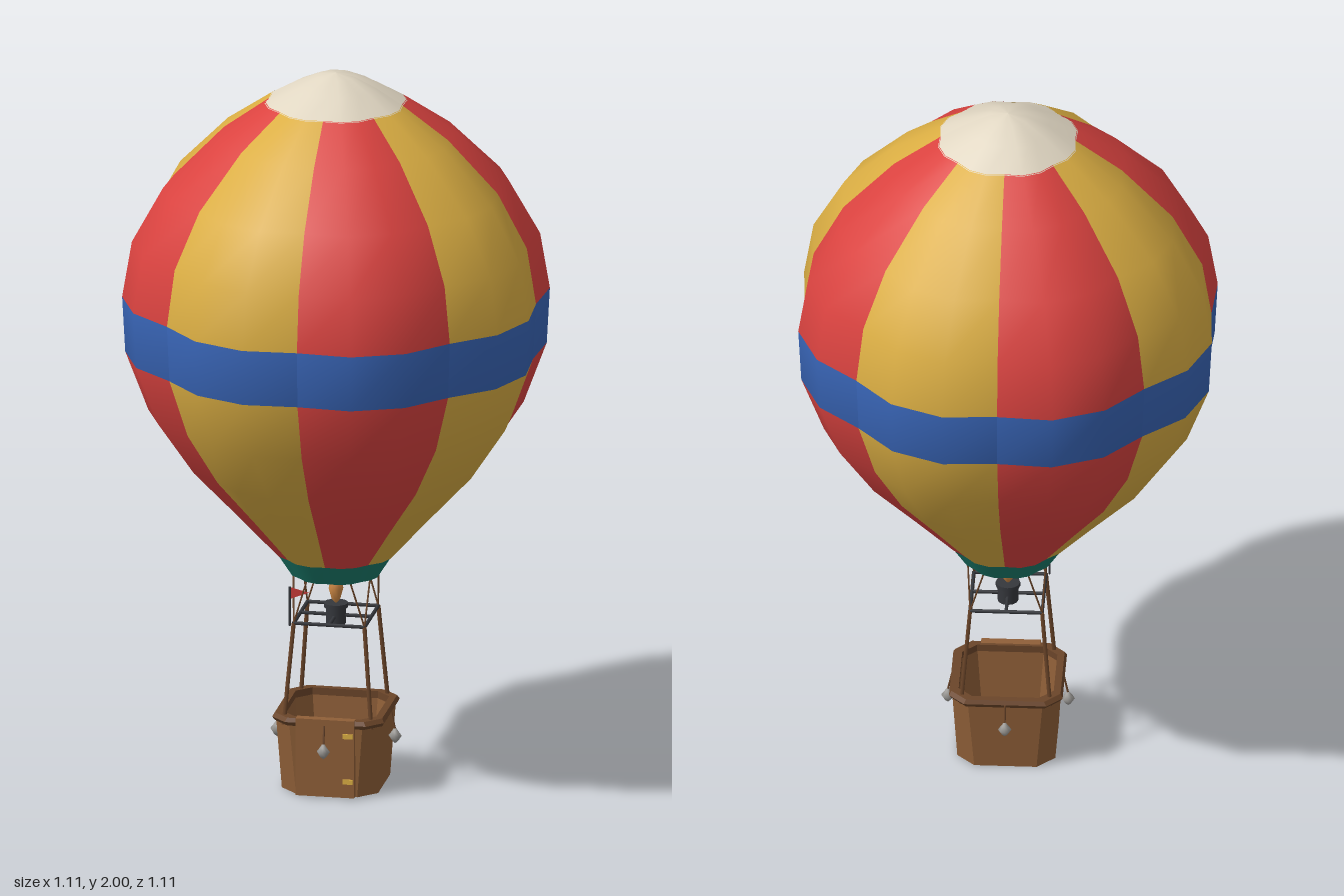
import * as THREE from 'three';

const mat = (name, color, side = THREE.FrontSide) => {
  const m = new THREE.MeshStandardMaterial({ color, side });
  m.name = name;
  return m;
};

// Skin through rings of points (bottom to top, counter-clockwise in x/z)
function skin(rings, closed, flat) {
  const n = rings[0].length, idx = [];
  const cols = closed ? n : n - 1;
  for (let i = 0; i < rings.length - 1; i++) {
    for (let j = 0; j < cols; j++) {
      const k = (j + 1) % n;
      const a = i * n + j, b = i * n + k, c = a + n, d = b + n;
      idx.push(a, c, b, b, c, d);
    }
  }
  let g = new THREE.BufferGeometry();
  g.setAttribute('position', new THREE.Float32BufferAttribute(rings.flat(2), 3));
  g.setIndex(idx);
  if (flat) g = g.toNonIndexed();
  g.computeVertexNormals();
  return g;
}

// Fabric turned about y, bulging between the eight seams
function fabric(profile, firstStep, steps) {
  return skin(profile.map(([r, y]) => {
    const ring = [];
    for (let s = firstStep; s <= firstStep + steps; s++) {
      const a = s * Math.PI / 12;
      const q = r * (1 + 0.06 * Math.sin(Math.PI * (s % 3) / 3));
      ring.push([q * Math.cos(a), y, q * Math.sin(a)]);
    }
    return ring;
  }), false, false);
}

// Square with cut corners, as a ring of eight points
function cutSquare([h, c, y]) {
  const k = h - c;
  return [[h, -k], [h, k], [k, h], [-k, h], [-h, k], [-h, -k], [-k, -h], [k, -h]]
    .map(([x, z]) => [x, y, z]);
}

export function createModel() {
  const model = new THREE.Group();
  model.name = 'hotAirBalloon';

  const red = mat('red', 0xdb4340, THREE.DoubleSide);
  const yellow = mat('yellow', 0xdbae43, THREE.DoubleSide);
  const blue = mat('blue', 0x3864b5, THREE.DoubleSide);
  const cream = mat('cream', 0xe0d6c2, THREE.DoubleSide);
  const teal = mat('teal', 0x1a7a6a, THREE.DoubleSide);
  const wicker = mat('wicker', 0x8f5f38);
  const darkWood = mat('darkWood', 0x6b4529);
  const metal = mat('darkMetal', 0x35373c);
  const silver = mat('silver', 0x9c9a96);
  const flameColor = mat('flame', 0xd08a45);

  const add = (name, geo, material, x = 0, y = 0, z = 0) => {
    const m = new THREE.Mesh(geo, material);
    m.name = name;
    m.position.set(x, y, z);
    model.add(m);
    return m;
  };

  // Straight round bar between two points
  const bar = (name, from, to, r, material) => {
    const a = new THREE.Vector3(...from), b = new THREE.Vector3(...to);
    const dir = b.clone().sub(a);
    const m = add(name, new THREE.CylinderGeometry(r, r, dir.length(), 6), material);
    m.position.copy(a).add(b).multiplyScalar(0.5);
    m.quaternion.setFromUnitVectors(new THREE.Vector3(0, 1, 0), dir.normalize());
  };

  // Envelope: eight gores with a blue belt
  const profile = [[0.155, 0.65], [0.262, 0.773], [0.384, 0.91], [0.481, 1.06], [0.54, 1.225],
    [0.548, 1.38], [0.523, 1.535], [0.443, 1.685], [0.307, 1.828], [0.18, 1.92]];
  const beltRow = 4, rowSize = 18;
  for (let i = 0; i < 8; i++) {
    const geo = fabric(profile, i * 3, 3);
    geo.addGroup(0, beltRow * rowSize, 0);
    geo.addGroup(beltRow * rowSize, rowSize, 1);
    geo.addGroup((beltRow + 1) * rowSize, 4 * rowSize, 0);
    add('gore', geo, [i % 2 ? red : yellow, blue]);
  }
  add('crown', fabric([[0.183, 1.918], [0.11, 1.963], [0.05, 1.992], [0, 2]], 0, 24), cream);
  add('skirt', fabric([[0.118, 0.592], [0.155, 0.652]], 0, 24), teal);

  // Basket: hollow tub with a floor, and a thick rim
  const tub = [[0, 0, 0], [0.132, 0.048, 0], [0.145, 0.044, 0.21],
    [0.13, 0.04, 0.21], [0.118, 0.042, 0.015], [0, 0, 0.015]];
  add('basket', skin(tub.map(cutSquare), true, true), wicker);
  const rim = [[0.128, 0.038, 0.198], [0.147, 0.042, 0.196], [0.153, 0.042, 0.207],
    [0.147, 0.042, 0.218], [0.128, 0.038, 0.218], [0.128, 0.038, 0.198]];
  add('basketRim', skin(rim.map(cutSquare), true, true), darkWood);

  // Door and hinges
  add('door', new THREE.BoxGeometry(0.16, 0.217, 0.024), wicker, 0, 0.1125, 0.145);
  for (const y of [0.05, 0.178]) {
    add('hinge', new THREE.BoxGeometry(0.028, 0.013, 0.006), yellow, 0.063, y, 0.159);
  }

  // Weights hanging on the four sides
  const weightShape = [[0, -0.022], [0.009, -0.014], [0.018, 0], [0.009, 0.012], [0.004, 0.02], [0, 0.022]]
    .map(([x, y]) => new THREE.Vector2(x, y));
  for (const [x, z] of [[0.162, 0], [-0.162, 0], [0, 0.178], [0, -0.165]]) {
    add('weight', new THREE.LatheGeometry(weightShape, 8), silver, x, 0.138, z);
    bar('weightCord', [x, 0.155, z], [x * 0.93, 0.207, z * 0.93], 0.003, darkWood);
  }

  // Corner poles, burner frame and ropes
  const f = 0.097, top = 0.47;
  for (let i = 0; i < 4; i++) {
    const a = Math.PI / 4 + i * Math.PI / 2;
    const sx = Math.sign(Math.cos(a)), sz = Math.sign(Math.sin(a));
    bar('pole', [sx * 0.12, 0.19, sz * 0.12], [sx * f, top, sz * f], 0.006, darkWood);
    bar('frameBar', [sx * f, top, sz * f], [-sz * f, top, sx * f], 0.005, metal);
    for (const d of [-0.28, 0.28]) {
      bar('rope', [sx * f, top, sz * f],
        [0.12 * Math.cos(a + d), 0.6, 0.12 * Math.sin(a + d)], 0.0025, darkWood);
    }
  }
  bar('burnerBar', [-f, top, 0], [f, top, 0], 0.005, metal);
  bar('burnerBar', [0, top, -f], [0, top, f], 0.005, metal);

  // Burner and flame
  add('burner', new THREE.CylinderGeometry(0.028, 0.028, 0.045, 12), metal, 0, 0.47, 0);
  add('burnerCollar', new THREE.CylinderGeometry(0.033, 0.033, 0.012, 12), metal, 0, 0.498, 0);
  const flame = [[0, 0.5], [0.012, 0.515], [0.02, 0.545], [0.015, 0.57], [0, 0.597]]
    .map(([x, y]) => new THREE.Vector2(x, y));
  add('flame', new THREE.LatheGeometry(flame, 10), flameColor);

  // Pennant on one frame corner
  bar('flagPole', [-0.106, 0.465, 0.106], [-0.106, 0.575, 0.106], 0.003, metal);
  const tri = new THREE.Shape([new THREE.Vector2(0, 0), new THREE.Vector2(0.052, 0.016), new THREE.Vector2(0, 0.034)]);
  add('flag', new THREE.ShapeGeometry(tri), red, -0.106, 0.54, 0.106).rotation.y = 0.3;

  return model;
}
